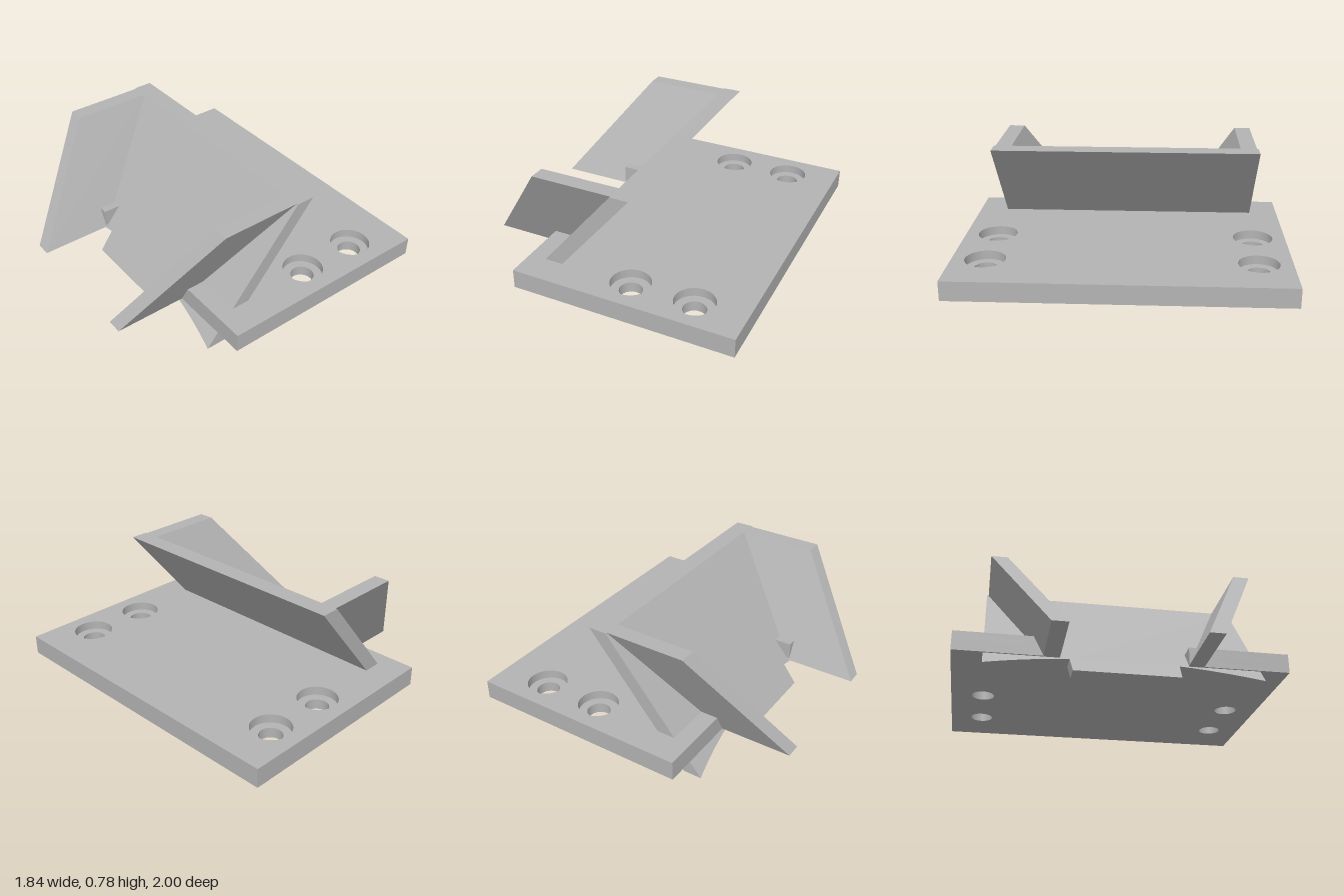
import * as THREE from 'three';

const grey = new THREE.MeshStandardMaterial({ color: 0xb3b3b3 });
grey.name = 'grey';

// Left face of the sloped panel: x at height y
const slopeX = (y) => -0.555 + 0.827 * y;

// Move every vertex by a rule and give the result hard-edged normals
function reshape(geometry, rule) {
  const g = geometry.index ? geometry.toNonIndexed() : geometry;
  const p = g.attributes.position;
  for (let i = 0; i < p.count; i++) p.setXYZ(i, ...rule(p.getX(i), p.getY(i), p.getZ(i)));
  g.computeVertexNormals();
  return g;
}

// Horizontal slab with a front notch and four round holes
function slab(y0, y1, radius) {
  const s = new THREE.Shape();
  [[-0.47, -1], [0.92, -1], [0.92, 1], [-0.47, 1], [-0.47, 0.385],
    [-0.345, 0.385], [-0.345, -0.385], [-0.47, -0.385]]
    .forEach(([x, z], i) => (i ? s.lineTo(x, z) : s.moveTo(x, z)));
  for (const x of [0.2, 0.6]) {
    for (const z of [-0.8, 0.8]) s.holes.push(new THREE.Path().absarc(x, z, radius, 0, Math.PI * 2, true));
  }
  const g = new THREE.ExtrudeGeometry(s, { depth: y1 - y0, bevelEnabled: false, curveSegments: 32 });
  return g.rotateX(-Math.PI / 2).translate(0, y0, 0);
}

// Sloped panel with a bottom tab and arched underside
function panelGeometry() {
  const s = new THREE.Shape();
  s.moveTo(-0.82, 0.78);
  s.lineTo(-0.82, 0.02);
  s.quadraticCurveTo(-0.575, 0.084, -0.325, 0.11);
  s.lineTo(-0.315, 0);
  s.lineTo(0.315, 0);
  s.lineTo(0.325, 0.11);
  s.quadraticCurveTo(0.575, 0.084, 0.82, 0.02);
  s.lineTo(0.82, 0.78);
  const g = new THREE.ExtrudeGeometry(s, { depth: 1, bevelEnabled: false, curveSegments: 16 });
  return reshape(g, (u, y, t) => [slopeX(y) + t * 0.115, y, -u]);
}

// Side wing leaning inward as it descends
function wingGeometry(side) {
  return reshape(new THREE.BoxGeometry(1, 1, 1), (x, y, z) => {
    const top = y > 0;
    const h = top ? 0.78 : 0.115;
    const outer = z * side > 0;
    const zz = top ? (outer ? 0.81 : 0.71) : (outer ? 0.475 : 0.38);
    return [x > 0 ? slopeX(h) : (top ? -0.415 : -0.92), h, side * zz];
  });
}

export function createModel() {
  const group = new THREE.Group();
  group.name = 'bracket';
  const add = (name, geometry) => {
    const m = new THREE.Mesh(geometry, grey);
    m.name = name;
    group.add(m);
  };
  // Base: lower layer has the screw holes, upper layer the counterbores
  add('basePlateLower', slab(0.115, 0.18, 0.07));
  add('basePlateUpper', slab(0.18, 0.235, 0.122));
  add('slopedPanel', panelGeometry());
  add('leftWing', wingGeometry(1));
  add('rightWing', wingGeometry(-1));
  return group;
}
